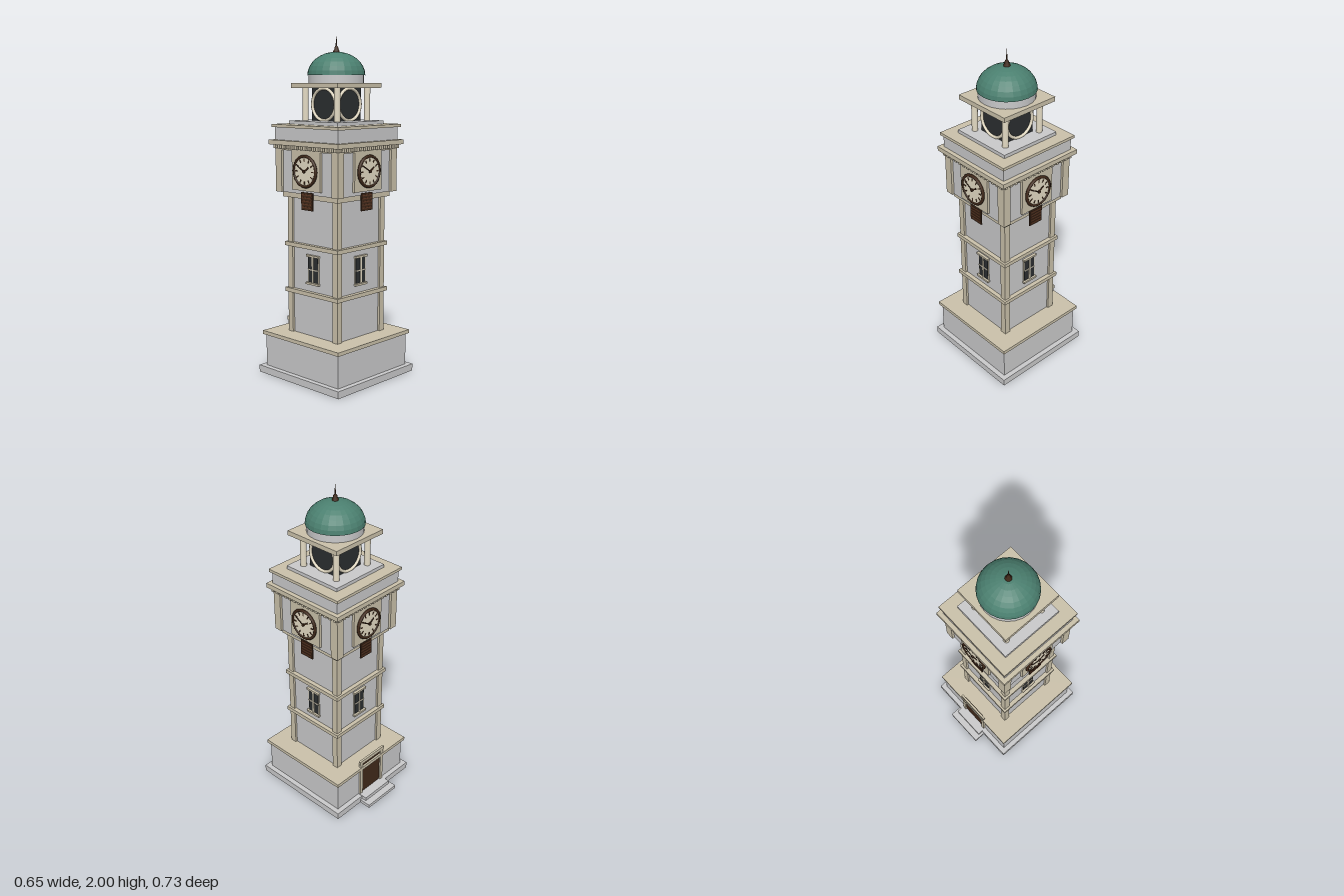
import * as THREE from 'three';

const mat = (name, color, extra = {}) => {
  const m = new THREE.MeshStandardMaterial({ color, ...extra });
  m.name = name;
  return m;
};

export function createModel() {
  const grey = mat('grey stone', 0xc9c9ca);
  const tan = mat('tan stone', 0xcac1aa);
  const cream = mat('cream', 0xe4dbc4);
  const dark = mat('dark glass', 0x2b2e30);
  const bronze = mat('dark bronze', 0x3f2819);
  const rust = mat('rust slats', 0x5f3824);
  const wood = mat('door wood', 0x40291a);
  const green = mat('green copper', 0x4b8070, { flatShading: true });

  const model = new THREE.Group();
  model.name = 'clockTower';
  const tower = new THREE.Group();
  tower.name = 'tower';
  tower.position.z = 0.036;
  model.add(tower);

  const add = (parent, name, geo, m, x = 0, y = 0, z = 0) => {
    const mesh = new THREE.Mesh(geo, m);
    mesh.name = name;
    mesh.position.set(x, y, z);
    parent.add(mesh);
    return mesh;
  };
  // box from its x, y and z limits
  const box = (parent, name, m, x0, x1, y0, y1, z0, z1) =>
    add(parent, name, new THREE.BoxGeometry(x1 - x0, y1 - y0, z1 - z0), m,
      (x0 + x1) / 2, (y0 + y1) / 2, (z0 + z1) / 2);
  // disc facing +z
  const disc = (parent, name, m, r, depth, y, z) => {
    const geo = new THREE.CylinderGeometry(r, r, depth, 32).rotateX(Math.PI / 2);
    return add(parent, name, geo, m, 0, y, z);
  };

  // square storeys, bottom to top: name, material, half width, y limits
  const tiers = [
    ['plinth', grey, 0.327, 0, 0.042],
    ['baseBlock', grey, 0.296, 0.042, 0.235],
    ['baseCap', tan, 0.311, 0.235, 0.257],
    ['shaft', grey, 0.188, 0.257, 1.1],
    ['lowerBand', tan, 0.214, 0.5, 0.524],
    ['middleBand', tan, 0.214, 0.778, 0.802],
    ['upperBand', tan, 0.222, 1.07, 1.1],
    ['clockStage', grey, 0.235, 1.1, 1.345],
    ['frieze', tan, 0.25, 1.345, 1.375],
    ['cornice', tan, 0.278, 1.375, 1.402],
    ['parapet', grey, 0.252, 1.402, 1.475],
    ['parapetCap', tan, 0.265, 1.475, 1.492],
    ['lanternStep', grey, 0.193, 1.492, 1.512],
    ['lanternCore', dark, 0.1, 1.512, 1.7],
    ['lanternSlab', tan, 0.185, 1.7, 1.727],
  ];
  for (const [name, m, h, y0, y1] of tiers) box(tower, name, m, -h, h, y0, y1, -h, h);

  // corner pilasters and lantern columns
  for (const sx of [-1, 1]) for (const sz of [-1, 1]) {
    const pier = (name, c, w, y0, y1) => {
      const x = sx * c, z = sz * c;
      box(tower, name, tan, x - w, x + w, y0, y1, z - w, z + w);
    };
    pier('shaftPilaster', 0.182, 0.019, 0.257, 1.07);
    pier('stagePilaster', 0.225, 0.025, 1.1, 1.345);
    add(tower, 'lanternColumn', new THREE.CylinderGeometry(0.018, 0.018, 0.188, 12), cream,
      sx * 0.126, 1.606, sz * 0.126);
  }

  // details repeated on all four faces
  for (let side = 0; side < 4; side++) {
    const face = new THREE.Group();
    face.name = 'face' + (side + 1);
    face.rotation.y = side * Math.PI / 2;
    tower.add(face);

    // window
    box(face, 'windowFrame', tan, -0.045, 0.045, 0.575, 0.735, 0.18, 0.192);
    box(face, 'windowGlass', dark, -0.039, 0.039, 0.582, 0.73, 0.19, 0.195);
    box(face, 'mullion', cream, -0.005, 0.005, 0.582, 0.73, 0.19, 0.2);
    box(face, 'glazingBar', cream, -0.039, 0.039, 0.653, 0.659, 0.19, 0.199);
    box(face, 'windowSill', tan, -0.05, 0.05, 0.568, 0.58, 0.18, 0.206);
    box(face, 'windowLintel', tan, -0.05, 0.05, 0.731, 0.743, 0.18, 0.204);

    // louvre under the clock
    box(face, 'louvre', bronze, -0.046, 0.046, 1.01, 1.112, 0.234, 0.242);
    for (let i = 0; i < 5; i++) {
      const y = 1.023 + i * 0.018;
      box(face, 'louvreSlat', rust, -0.041, 0.041, y, y + 0.007, 0.24, 0.244);
    }

    // clock
    box(face, 'clockPanel', tan, -0.114, 0.114, 1.122, 1.345, 0.23, 0.25);
    const cy = 1.234;
    disc(face, 'clockBody', bronze, 0.092, 0.01, cy, 0.254);
    disc(face, 'clockDial', cream, 0.08, 0.004, cy, 0.259);
    add(face, 'clockRim', new THREE.TorusGeometry(0.086, 0.009, 8, 32), bronze, 0, cy, 0.257);
    for (let i = 0; i < 12; i++) {
      const a = i * Math.PI / 6;
      const tick = add(face, 'hourMark', new THREE.BoxGeometry(0.007, 0.018, 0.003), bronze,
        Math.sin(a) * 0.065, cy + Math.cos(a) * 0.065, 0.2615);
      tick.rotation.z = -a;
    }
    const hand = (name, length, width, degrees, z) => {
      const geo = new THREE.BoxGeometry(width, length, 0.003).translate(0, length / 2 - 0.008, 0);
      add(face, name, geo, bronze, 0, cy, z).rotation.z = -degrees * Math.PI / 180;
    };
    hand('hourHand', 0.05, 0.009, 55, 0.264);
    hand('minuteHand', 0.074, 0.006, 300, 0.266);
    disc(face, 'clockHub', bronze, 0.009, 0.01, cy, 0.265);

    // dentils under the cornice
    for (let i = 0; i < 15; i++) {
      const x = (i - 7) * 0.0345;
      box(face, 'dentil', tan, x - 0.009, x + 0.009, 1.353, 1.376, 0.245, 0.265);
    }

    // round lantern opening
    add(face, 'lanternRing', new THREE.TorusGeometry(0.091, 0.009, 8, 32), cream, 0, 1.606, 0.104);
  }

  // drum, dome and finial
  add(tower, 'drum', new THREE.CylinderGeometry(0.16, 0.16, 0.048, 24), grey, 0, 1.75, 0);
  const dome = new THREE.SphereGeometry(0.167, 24, 8, 0, Math.PI * 2, 0, Math.PI / 2);
  dome.scale(1, 0.8, 1);
  add(tower, 'dome', dome, green, 0, 1.771, 0);
  const rimGeo = new THREE.CircleGeometry(0.167, 24).rotateX(Math.PI / 2);
  add(tower, 'domeUnderside', rimGeo, green, 0, 1.7715, 0);
  const finial = [[0.019, 1.898], [0.019, 1.908], [0.011, 1.92], [0.012, 1.928], [0.005, 1.938],
    [0.003, 1.965], [0, 2]].map(([r, y]) => new THREE.Vector2(r, y));
  add(tower, 'finial', new THREE.LatheGeometry(finial, 12), bronze);

  // back door with its frame and steps
  const entrance = new THREE.Group();
  entrance.name = 'entrance';
  model.add(entrance);
  box(entrance, 'door', wood, -0.086, 0.086, 0.042, 0.29, -0.263, -0.255);
  for (const s of [-1, 1])
    box(entrance, 'doorJamb', tan, s * 0.093 - 0.011, s * 0.093 + 0.011, 0.042, 0.285, -0.272, -0.257);
  box(entrance, 'doorLintel', tan, -0.11, 0.11, 0.283, 0.306, -0.274, -0.26);
  box(entrance, 'lowerStep', grey, -0.125, 0.125, 0, 0.022, -0.365, -0.28);
  box(entrance, 'upperStep', grey, -0.109, 0.109, 0.022, 0.045, -0.323, -0.26);

  return model;
}
